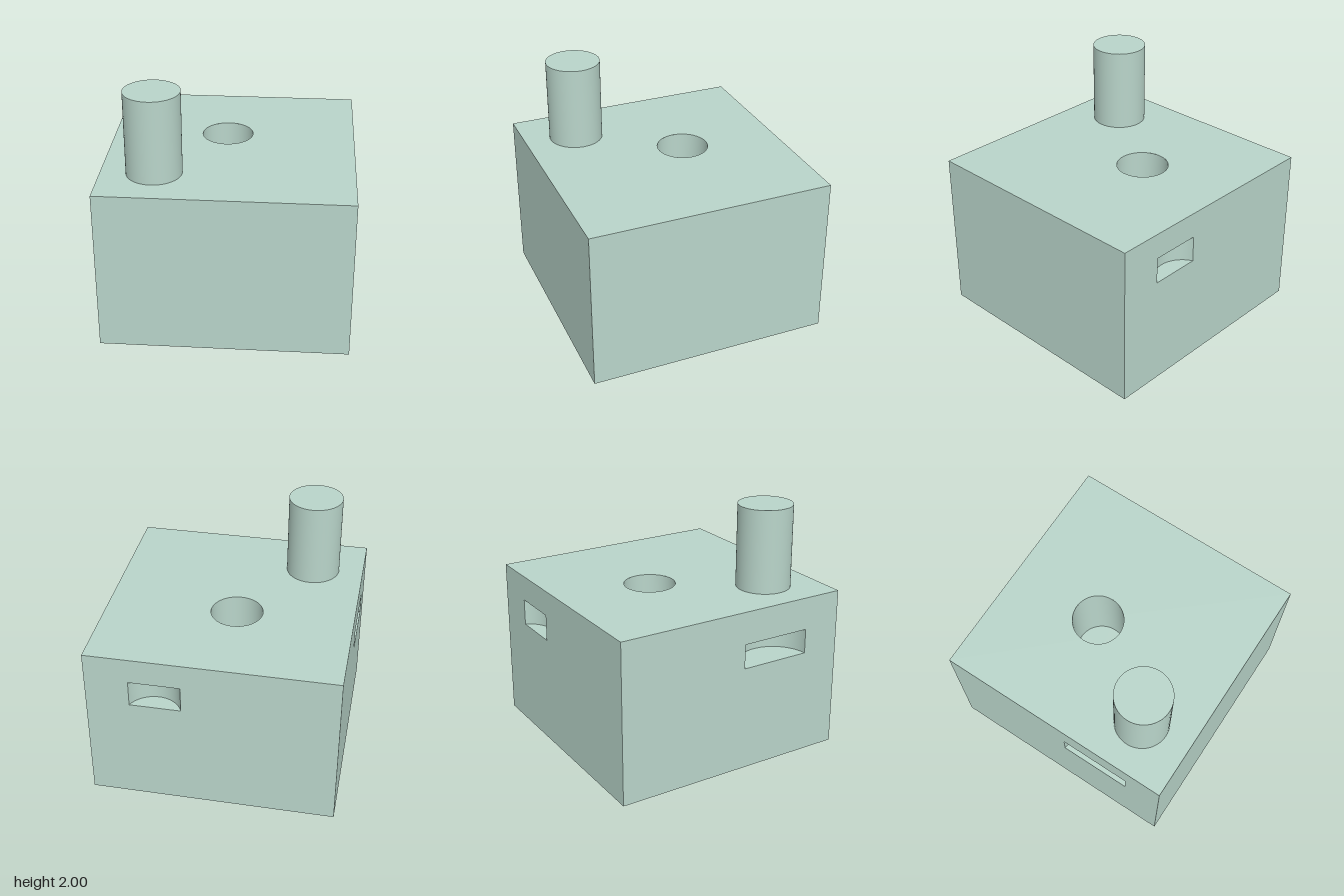
import * as THREE from 'three';

const S = 0.984; // half width of the block
const H = 1.325; // block height
const material = new THREE.MeshStandardMaterial({ color: 0xb9d5ca, side: THREE.DoubleSide });

function add(parent, name, geometry, x = 0, y = 0, z = 0) {
  const mesh = new THREE.Mesh(geometry, material);
  mesh.name = name;
  mesh.position.set(x, y, z);
  parent.add(mesh);
  return mesh;
}

function rectangle(path, x0, x1, y0, y1) {
  path.moveTo(x0, y0);
  path.lineTo(x1, y0);
  path.lineTo(x1, y1);
  path.lineTo(x0, y1);
  path.closePath();
  return path;
}

// One upright side of the block, optionally with a round-backed slot.
// slot: centre x, half width, bottom y, top y and radius of the curved back
function wall(name, angle, slot) {
  const group = new THREE.Group();
  group.name = name;
  group.rotation.y = angle;
  const face = rectangle(new THREE.Shape(), -S, S, 0, H);
  if (slot) {
    const { x, half, y0, y1, r } = slot;
    face.holes.push(rectangle(new THREE.Path(), x - half, x + half, y0, y1));
    const a = Math.asin(half / r);
    const out = r * Math.cos(a); // arc centre lies this far outside the face
    const segment = new THREE.Shape();
    segment.absarc(0, -out, r, Math.PI / 2 - a, Math.PI / 2 + a);
    const floor = new THREE.ShapeGeometry(segment, 32).rotateX(-Math.PI / 2);
    const ceiling = new THREE.ShapeGeometry(segment, 32).rotateX(Math.PI / 2).scale(1, 1, 1).rotateY(Math.PI);
    add(group, 'slotFloor', floor, x, y0, S);
    add(group, 'slotCeiling', ceiling, x, y1, S);
    add(group, 'slotBack',
      new THREE.CylinderGeometry(r, r, y1 - y0, 32, 1, true, Math.PI - a, 2 * a),
      x, (y0 + y1) / 2, S + out);
  }
  add(group, 'wallFace', new THREE.ShapeGeometry(face), 0, 0, S);
  return group;
}

export function createModel() {
  const model = new THREE.Group();
  model.name = 'blockWithPeg';

  // Four sides; the back and the right side have slots
  model.add(
    wall('frontWall', 0),
    wall('leftWall', Math.PI / 2),
    wall('backWall', Math.PI, { x: -0.435, half: 0.203, y0: 0.9, y1: 1.115, r: 0.219 }),
    wall('rightWall', -Math.PI / 2, { x: 0.385, half: 0.289, y0: 0.86, y1: 1.06, r: 0.2892 })
  );

  // Underside
  add(model, 'base', new THREE.PlaneGeometry(2 * S, 2 * S).rotateX(Math.PI / 2));

  // Top face with a round opening
  const hole = { x: -0.055, z: -0.192, r: 0.207, depth: 0.66, lean: 0.02 };
  const top = rectangle(new THREE.Shape(), -S, S, -S, S);
  top.holes.push(new THREE.Path().absarc(hole.x, -hole.z, hole.r, 0, Math.PI * 2, true));
  add(model, 'topFace', new THREE.ShapeGeometry(top, 64).rotateX(-Math.PI / 2), 0, H, 0);

  // Blind hole, leaning very slightly forward as it goes down
  const lining = new THREE.CylinderGeometry(hole.r, hole.r, hole.depth, 64, 1, true);
  lining.translate(0, -hole.depth / 2, 0);
  const p = lining.attributes.position;
  for (let i = 0; i < p.count; i++) p.setZ(i, p.getZ(i) - (p.getY(i) / hole.depth) * hole.lean);
  add(model, 'holeLining', lining, hole.x, H, hole.z);
  add(model, 'holeFloor', new THREE.CircleGeometry(hole.r, 64).rotateX(-Math.PI / 2),
    hole.x, H - hole.depth, hole.z + hole.lean);

  // Peg standing near the front right corner
  add(model, 'peg', new THREE.CylinderGeometry(0.219, 0.219, 2 - H, 64), -0.566, (2 + H) / 2, 0.557);

  return model;
}
